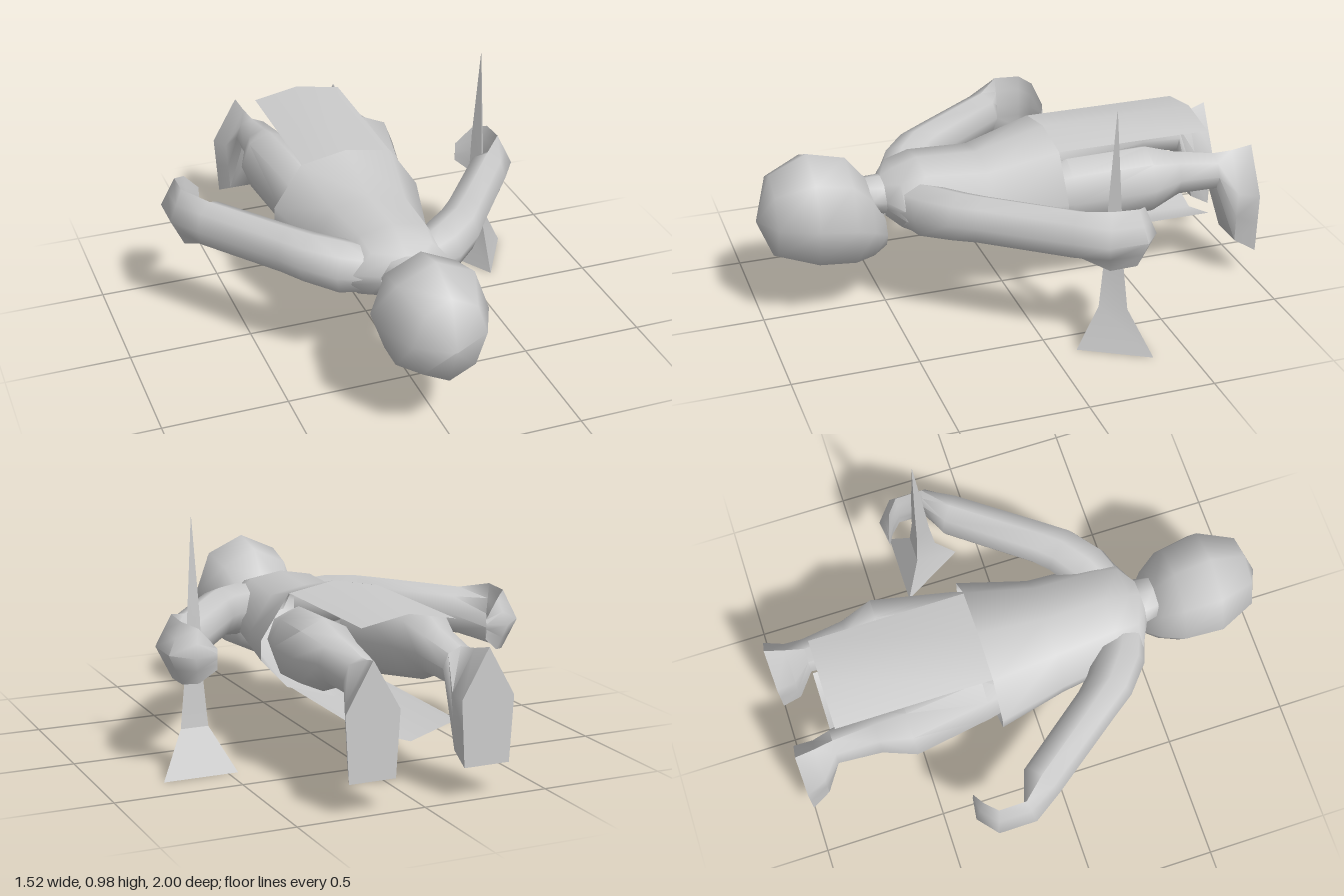
import * as THREE from 'three';
import { toCreasedNormals } from 'three/addons/utils/BufferGeometryUtils.js';

const material = new THREE.MeshStandardMaterial({ color: 0xcccccc, side: THREE.DoubleSide });
const V = (x, y, z) => new THREE.Vector3(x, y, z);

// Unit outlines, clockwise from the top as seen from the start of a loft
const mirrored = (half) => [...half, ...half.slice().reverse().filter(([x]) => x > 0).map(([x, y]) => [-x, y])];
const OCTAGON = mirrored([[0, 1], [0.71, 0.71], [1, 0], [0.71, -0.71], [0, -1]]);
const TUNIC = mirrored([[0, 1], [0.62, 0.85], [1, 0.1], [1, -0.25], [0.65, -0.745], [0, -1]]);
const SOLE = mirrored([[0, 1], [1, 0.15], [0.93, -0.42], [0.86, -1], [0, -1]]);
const MITTEN = [[0, 1], [0.5, 0.5], [1, 0], [0.5, -0.5], [0, -1], [-0.12, -0.5], [-0.25, 0], [-0.12, 0.5]];

// Skin a list of point rings, optionally capping the ends
function skin(name, rings, { capStart = false, capEnd = false, crease = 1 } = {}) {
  const n = rings[0].length;
  const points = rings.flat();
  const index = [];
  for (let i = 0; i < rings.length - 1; i++) {
    for (let j = 0; j < n; j++) {
      const a = i * n + j, b = i * n + (j + 1) % n;
      index.push(a, b, a + n, b, b + n, a + n);
    }
  }
  const cap = (ring, base, flip) => {
    const c = points.length;
    points.push(ring.reduce((s, p) => s.add(p), V(0, 0, 0)).divideScalar(n));
    for (let j = 0; j < n; j++) {
      const a = base + j, b = base + (j + 1) % n;
      index.push(c, flip ? b : a, flip ? a : b);
    }
  };
  if (capStart) cap(rings[0], 0, true);
  if (capEnd) cap(rings[rings.length - 1], (rings.length - 1) * n, false);
  const geometry = new THREE.BufferGeometry().setFromPoints(points);
  geometry.setIndex(index);
  const mesh = new THREE.Mesh(toCreasedNormals(geometry, crease), material);
  mesh.name = name;
  return mesh;
}

// Rings across z: [z, centre x, low y, high y, half width, outline]
const alongZ = (sections) => sections.map(([z, cx, lo, hi, rx, outline = OCTAGON]) =>
  outline.map(([u, v]) => V(cx + u * rx, (lo + hi) / 2 + v * (hi - lo) / 2, z)));

// Rings following a level path: [x, z, centre y, half width, half height, outline]
function alongPath(sections) {
  return sections.map(([x, z, y, w, h, outline = OCTAGON], i) => {
    const p = sections[Math.max(i - 1, 0)], q = sections[Math.min(i + 1, sections.length - 1)];
    const side = V(q[0] - p[0], 0, q[1] - p[1]).normalize().cross(V(0, 1, 0));
    return outline.map(([u, v]) => V(x, y + v * h, z).addScaledVector(side, u * w));
  });
}

// Folded cloth strip continuing the tunic hem
function panel(name, edgeY, midY, endZ) {
  const geometry = new THREE.PlaneGeometry(0.38, 1, 2, 1);
  const pos = geometry.attributes.position;
  for (let i = 0; i < pos.count; i++) {
    const x = pos.getX(i);
    pos.setXYZ(i, x, Math.abs(x) < 0.01 ? midY : edgeY, pos.getY(i) > 0 ? endZ : -0.18);
  }
  geometry.computeVertexNormals();
  const mesh = new THREE.Mesh(geometry, material);
  mesh.name = name;
  return mesh;
}

// One arm with curled mitten hand and one leg with foot, on the +x side
function limbs(name, sign) {
  const group = new THREE.Group();
  group.name = name;
  group.add(
    skin('armAndHand', alongPath([
      [0.09, 0.405, 0.46, 0.085, 0.09],
      [0.2, 0.35, 0.465, 0.102, 0.108],
      [0.305, 0.268, 0.48, 0.096, 0.1],
      [0.365, 0.195, 0.484, 0.088, 0.096],
      [0.597, -0.113, 0.482, 0.084, 0.097],
      [0.685, -0.205, 0.48, 0.062, 0.124, MITTEN],
      [0.685, -0.315, 0.478, 0.06, 0.12, MITTEN],
      [0.635, -0.36, 0.472, 0.048, 0.105, MITTEN],
      [0.57, -0.385, 0.46, 0.004, 0.04, MITTEN],
    ]), { capEnd: true, crease: 1.2 }),
    skin('legAndFoot', alongZ([
      [-0.1, 0.15, 0.33, 0.55, 0.1],
      [-0.22, 0.168, 0.285, 0.59, 0.11],
      [-0.54, 0.21, 0.335, 0.615, 0.13],
      [-0.67, 0.2, 0.385, 0.57, 0.09],
      [-0.845, 0.2, 0.38, 0.536, 0.072],
      [-0.92, 0.215, 0.17, 0.545, 0.088, SOLE],
      [-1, 0.23, 0.125, 0.565, 0.107, SOLE],
    ]), { capEnd: true }),
  );
  group.scale.x = sign;
  return group;
}

export function createModel() {
  const model = new THREE.Group();
  model.name = 'lyingFigure';

  const figure = new THREE.Group();
  figure.name = 'figure';
  figure.position.x = -0.02;
  figure.add(
    skin('head', alongZ([
      [1, 0, 0.425, 0.435, 0.005],
      [0.94, 0, 0.27, 0.62, 0.145],
      [0.79, 0, 0.21, 0.688, 0.215],
      [0.64, 0, 0.192, 0.65, 0.198],
      [0.56, 0, 0.21, 0.55, 0.15],
      [0.495, 0, 0.25, 0.4, 0.08],
    ]), { capStart: true, capEnd: true, crease: 1.2 }),
    skin('neck', alongZ([
      [0.56, 0, 0.41, 0.55, 0.085],
      [0.485, 0, 0.39, 0.55, 0.1],
    ])),
    // Tunic is open at the hem
    skin('tunic', alongZ([
      [0.5, 0, 0.39, 0.55, 0.1, TUNIC],
      [0.45, 0, 0.35, 0.577, 0.2, TUNIC],
      [0.35, 0, 0.285, 0.61, 0.215, TUNIC],
      [0.1, 0, 0.225, 0.597, 0.24, TUNIC],
      [-0.18, 0, 0.2, 0.67, 0.31, TUNIC],
    ])),
    panel('backPanel', 0.635, 0.67, -0.82),
    panel('frontPanel', 0.26, 0.2, -0.845),
    limbs('leftLimbs', 1),
    limbs('rightLimbs', -1),
  );
  model.add(figure);

  // Three-sided spike with a flared base: [y, centre x, centre z, radius]
  const spike = [
    [0, 0.61, -0.27, 0.172],
    [0.175, 0.607, -0.25, 0.064],
    [0.37, 0.602, -0.247, 0.042],
    [0.6, 0.597, -0.247, 0.029],
    [0.975, 0.595, -0.245, 0.001],
  ].map(([y, cx, cz, r]) => [0, 1, 2].map((k) => {
    const a = k * Math.PI * 2 / 3;
    return V(cx + r * Math.sin(a), y, cz + r * Math.cos(a));
  }));
  model.add(skin('spike', spike, { capStart: true, crease: 0.3 }));

  return model;
}
